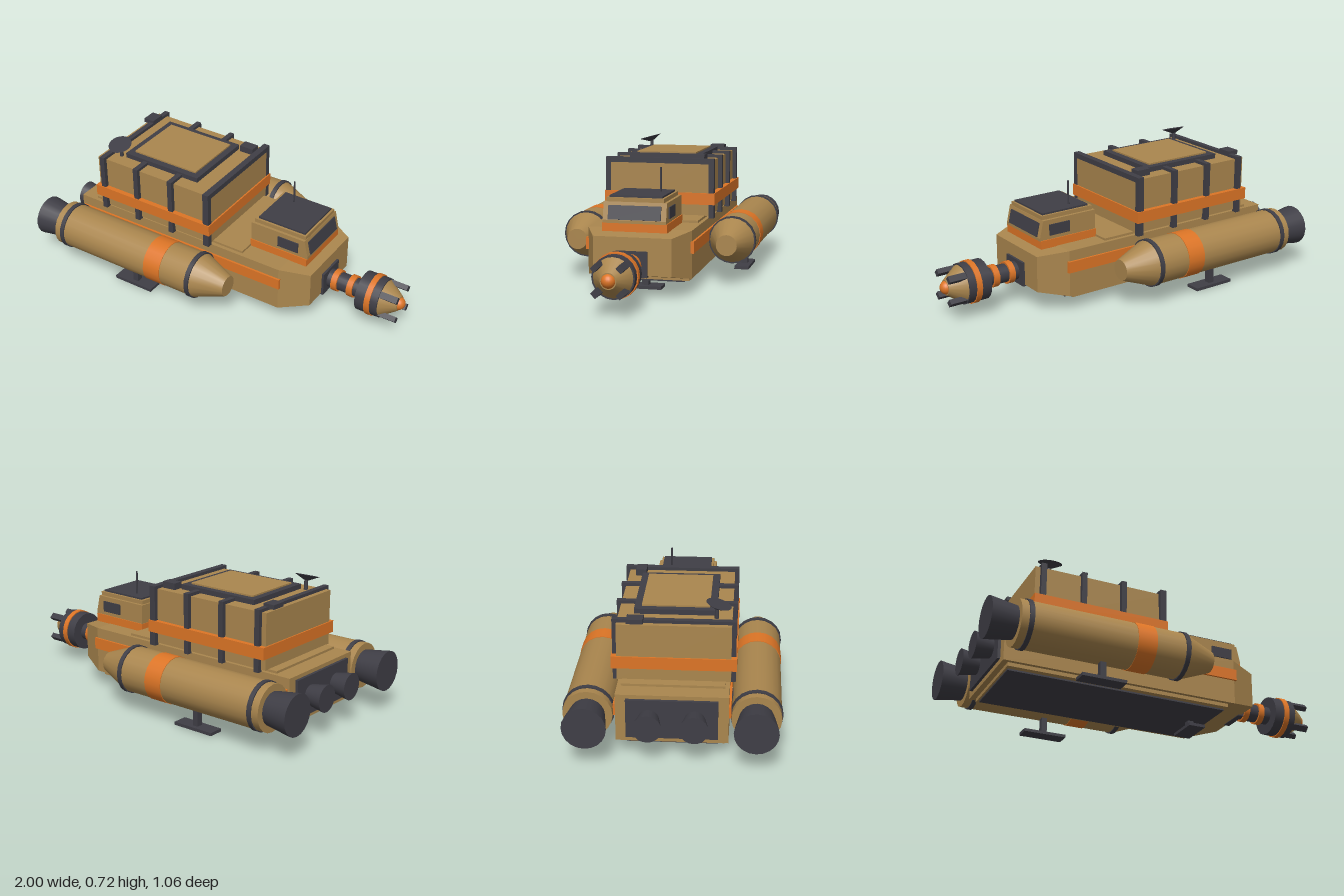
import * as THREE from 'three';

const material = (name, color) => {
  const m = new THREE.MeshStandardMaterial({ color });
  m.name = name;
  return m;
};

export function createModel() {
  const model = new THREE.Group();
  model.name = 'cargoShip';
  const tan = material('tan', 0xaa864e);
  const orange = material('orange', 0xdd7526);
  const dark = material('darkGrey', 0x3f3e46);

  const add = (name, geometry, mat, parent = model) => {
    const mesh = new THREE.Mesh(geometry, mat);
    mesh.name = name;
    parent.add(mesh);
    return mesh;
  };
  // Box given by its limits on each axis
  const box = (name, mat, [x0, x1], [y0, y1], [z0, z1], parent) => {
    const g = new THREE.BoxGeometry(x1 - x0, y1 - y0, z1 - z0);
    g.translate((x0 + x1) / 2, (y0 + y1) / 2, (z0 + z1) / 2);
    return add(name, g, mat, parent);
  };
  // Cylinder or cone running along x from x0 (radius r0) to x1 (radius r1)
  const tube = (name, mat, x0, x1, r0, r1, y, z, parent) => {
    const g = new THREE.CylinderGeometry(r1, r0, x1 - x0, 20);
    g.rotateZ(-Math.PI / 2).translate((x0 + x1) / 2, y, z);
    return add(name, g, mat, parent);
  };

  // Hull with tapered nose
  box('hull', tan, [-0.86, 0.41], [0.085, 0.33], [-0.27, 0.27]);
  const nose = new THREE.BoxGeometry(0.15, 0.245, 0.54).translate(0.485, 0.2075, 0);
  const p = nose.attributes.position;
  for (let i = 0; i < p.count; i++) {
    if (p.getX(i) < 0.5) continue;
    p.setY(i, p.getY(i) > 0.2 ? 0.31 : 0.12);
    p.setZ(i, Math.sign(p.getZ(i)) * 0.2);
  }
  nose.computeVertexNormals();
  add('hullNose', nose, tan);
  box('keel', tan, [-0.83, 0.38], [0.066, 0.085], [-0.25, 0.25]);
  box('bellyPlate', dark, [-0.82, 0.37], [0.057, 0.066], [-0.22, 0.22]);
  box('deck', tan, [-0.77, 0.18], [0.33, 0.342], [-0.25, 0.25]);
  box('rearPanel', dark, [-0.875, -0.86], [0.11, 0.31], [-0.22, 0.22]);
  for (const s of [-1, 1]) {
    const z = s * 0.272;
    box('hullStripe', orange, [-0.85, 0.42], [0.215, 0.275], [z - 0.009, z + 0.009]);
    tube('rearNozzle', dark, -0.97, -0.86, 0.07, 0.048, 0.21, s * 0.11);
  }

  // Cargo module
  box('cargoBody', tan, [-0.72, 0], [0.34, 0.628], [-0.275, 0.275]);
  box('cargoBelt', orange, [-0.727, 0.008], [0.4, 0.462], [-0.302, 0.302]);
  for (const x of [-0.68, -0.46, -0.24, -0.018]) {
    const w = [x - 0.014, x + 0.014 + (x > -0.1 ? 0.006 : 0)];
    const rib = new THREE.Group();
    rib.name = 'cargoRib';
    model.add(rib);
    box('ribTop', dark, w, [0.616, 0.644], [-0.297, 0.297], rib);
    for (const s of [-1, 1]) {
      const z = s * 0.283;
      box('ribSide', dark, w, [0.328, 0.644], [z - 0.014, z + 0.014], rib);
    }
  }
  box('hatchFrame', dark, [-0.59, -0.13], [0.628, 0.654], [-0.2, 0.2]);
  box('hatch', tan, [-0.555, -0.165], [0.64, 0.662], [-0.165, 0.165]);
  box('roofUnitFront', dark, [-0.115, -0.035], [0.628, 0.662], [-0.237, -0.183]);
  box('roofUnitRear', dark, [-0.727, -0.665], [0.635, 0.658], [-0.225, -0.145]);

  // Dish antenna
  const dish = new THREE.Group();
  dish.name = 'dishAntenna';
  dish.position.set(-0.62, 0.63, 0.2);
  model.add(dish);
  add('dishMast', new THREE.CylinderGeometry(0.009, 0.011, 0.055, 10).translate(0, 0.027, 0), dark, dish);
  const bowl = add('dishBowl', new THREE.CylinderGeometry(0.063, 0.012, 0.026, 20), dark, dish);
  bowl.position.set(0, 0.06, 0.006);
  bowl.rotation.x = 0.27;

  // Cabin with sloping front
  box('cabinBase', orange, [0.178, 0.512], [0.328, 0.372], [-0.167, 0.167]);
  const cabin = new THREE.Shape();
  [[0.18, 0.37], [0.515, 0.37], [0.515, 0.385], [0.495, 0.475], [0.18, 0.475]].forEach(([x, y], i) =>
    i ? cabin.lineTo(x, y) : cabin.moveTo(x, y));
  add('cabinBody', new THREE.ExtrudeGeometry(cabin, { depth: 0.324, bevelEnabled: false }).translate(0, 0, -0.162), tan);
  box('cabinRoof', tan, [0.19, 0.493], [0.475, 0.496], [-0.147, 0.147]);
  box('roofPlate', dark, [0.207, 0.482], [0.496, 0.505], [-0.135, 0.135]);
  const screen = add('windscreen', new THREE.BoxGeometry(0.009, 0.072, 0.27), dark);
  screen.position.set(0.509, 0.423, 0);
  screen.rotation.z = Math.atan(0.02 / 0.09);
  for (const s of [-1, 1]) {
    const z = s * 0.164;
    box('sideWindow', dark, [0.34, 0.46], [0.392, 0.45], [z - 0.004, z + 0.004]);
  }
  add('whipAntenna', new THREE.CylinderGeometry(0.005, 0.005, 0.13, 8).translate(0.29, 0.565, -0.08), dark);

  // Side engine pods with rear landing legs
  for (const s of [-1, 1]) {
    const pod = new THREE.Group();
    pod.name = s > 0 ? 'leftPod' : 'rightPod';
    model.add(pod);
    const z = s * 0.402, y = 0.22;
    tube('podBody', tan, -0.86, 0.02, 0.12, 0.12, y, z, pod);
    tube('podCone', tan, 0.02, 0.19, 0.12, 0.055, y, z, pod);
    tube('podNozzle', dark, -1, -0.85, 0.106, 0.083, y, z, pod);
    tube('podBand', orange, -0.262, -0.16, 0.123, 0.123, y, z, pod);
    for (const x of [-0.81, 0.012]) tube('podRing', dark, x - 0.012, x + 0.012, 0.126, 0.126, y, z, pod);
    for (const x of [-0.65, -0.1]) {
      box('pylon', dark, [x - 0.04, x + 0.04], [0.19, 0.25], s > 0 ? [0.26, 0.3] : [-0.3, -0.26], pod);
    }
    box('legStrut', dark, [-0.417, -0.386], [0.012, 0.115], [s * 0.4 - 0.017, s * 0.4 + 0.017], pod);
    box('legFoot', dark, [-0.52, -0.286], [0, 0.016], [s * 0.4 - 0.04, s * 0.4 + 0.04], pod);
  }

  // Front landing leg
  box('frontLegStrut', dark, [0.265, 0.299], [0.012, 0.06], [-0.018, 0.018]);
  box('frontLegFoot', dark, [0.235, 0.327], [0, 0.016], [-0.09, 0.09]);

  // Docking probe
  const probe = new THREE.Group();
  probe.name = 'dockingProbe';
  probe.position.y = 0.177;
  model.add(probe);
  box('probeMount', dark, [0.54, 0.572], [-0.065, 0.065], [-0.08, 0.08], probe);
  tube('probeShaft', dark, 0.56, 0.77, 0.049, 0.049, 0, 0, probe);
  for (const x of [0.615, 0.706]) tube('shaftRing', orange, x - 0.016, x + 0.016, 0.059, 0.059, 0, 0, probe);
  tube('probeHead', dark, 0.765, 0.89, 0.106, 0.106, 0, 0, probe);
  tube('headRing', orange, 0.82, 0.85, 0.112, 0.112, 0, 0, probe);
  tube('probeCone', tan, 0.89, 0.972, 0.098, 0.04, 0, 0, probe);
  add('probeTip', new THREE.SphereGeometry(0.035, 20, 14).translate(0.965, 0, 0), orange, probe);
  for (let i = 0; i < 4; i++) {
    const claw = box('claw', dark, [0.87, 0.985], [0.073, 0.1], [-0.017, 0.017], probe);
    claw.rotation.x = Math.PI / 4 + (i * Math.PI) / 2;
  }
  return model;
}
